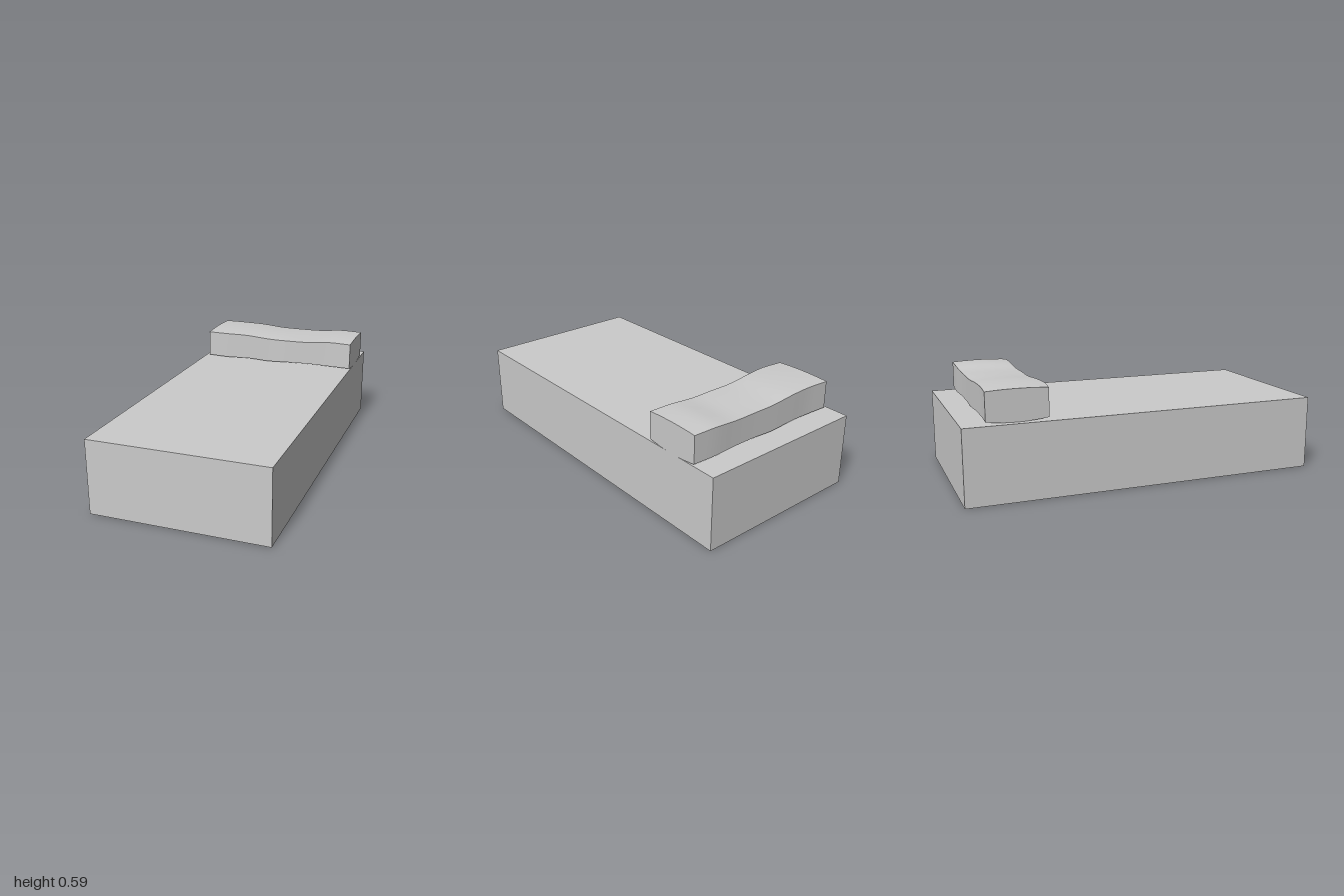
import * as THREE from 'three';

const grey = () => new THREE.MeshStandardMaterial({ color: 0xcccccc });

// Smooth wave through evenly spaced samples along the pillow (t = 0..1)
function wave(samples) {
  const curve = new THREE.CatmullRomCurve3(samples.map((v, i) => new THREE.Vector3(i, v, 0)));
  return t => curve.getPoint(t).y;
}

// Pillow: a divided box whose faces swell and ripple along its length
function pillowGeometry() {
  const x0 = -0.455, x1 = 0.49;
  const topEdge = wave([0.581, 0.583, 0.58, 0.569, 0.568, 0.57, 0.582, 0.581]);
  const topCrest = wave([0.587, 0.589, 0.586, 0.576, 0.572, 0.572, 0.588, 0.587]);
  const bottomEdge = wave([0.426, 0.426, 0.428, 0.421, 0.427, 0.429, 0.427, 0.426]);
  const bottomMid = wave([0.414, 0.414, 0.416, 0.413, 0.414, 0.416, 0.414, 0.413]);
  const front = wave([-0.542, -0.531, -0.542, -0.545, -0.543, -0.547, -0.548, -0.543]);
  const back = wave([-0.873, -0.866, -0.868, -0.869, -0.868, -0.87, -0.874, -0.868]);

  const geo = new THREE.BoxGeometry(1, 1, 1, 21, 1, 10);
  const p = geo.attributes.position;
  for (let i = 0; i < p.count; i++) {
    const t = p.getX(i) + 0.5;
    const s = p.getZ(i) + 0.5;
    const arch = 1 - (2 * s - 1) ** 2;
    const y = p.getY(i) > 0
      ? THREE.MathUtils.lerp(topEdge(t), topCrest(t), arch)
      : THREE.MathUtils.lerp(bottomEdge(t), bottomMid(t), arch);
    p.setXYZ(i, THREE.MathUtils.lerp(x0, x1, t), y, THREE.MathUtils.lerp(back(t), front(t), s));
  }
  geo.computeVertexNormals();
  return geo;
}

export function createModel() {
  const model = new THREE.Group();
  model.name = 'bed';

  // Plain block mattress
  const mattress = new THREE.Mesh(new THREE.BoxGeometry(0.98, 0.414, 2), grey());
  mattress.name = 'mattress';
  mattress.position.y = 0.207;

  const pillow = new THREE.Mesh(pillowGeometry(), grey());
  pillow.name = 'pillow';

  model.add(mattress, pillow);
  return model;
}
